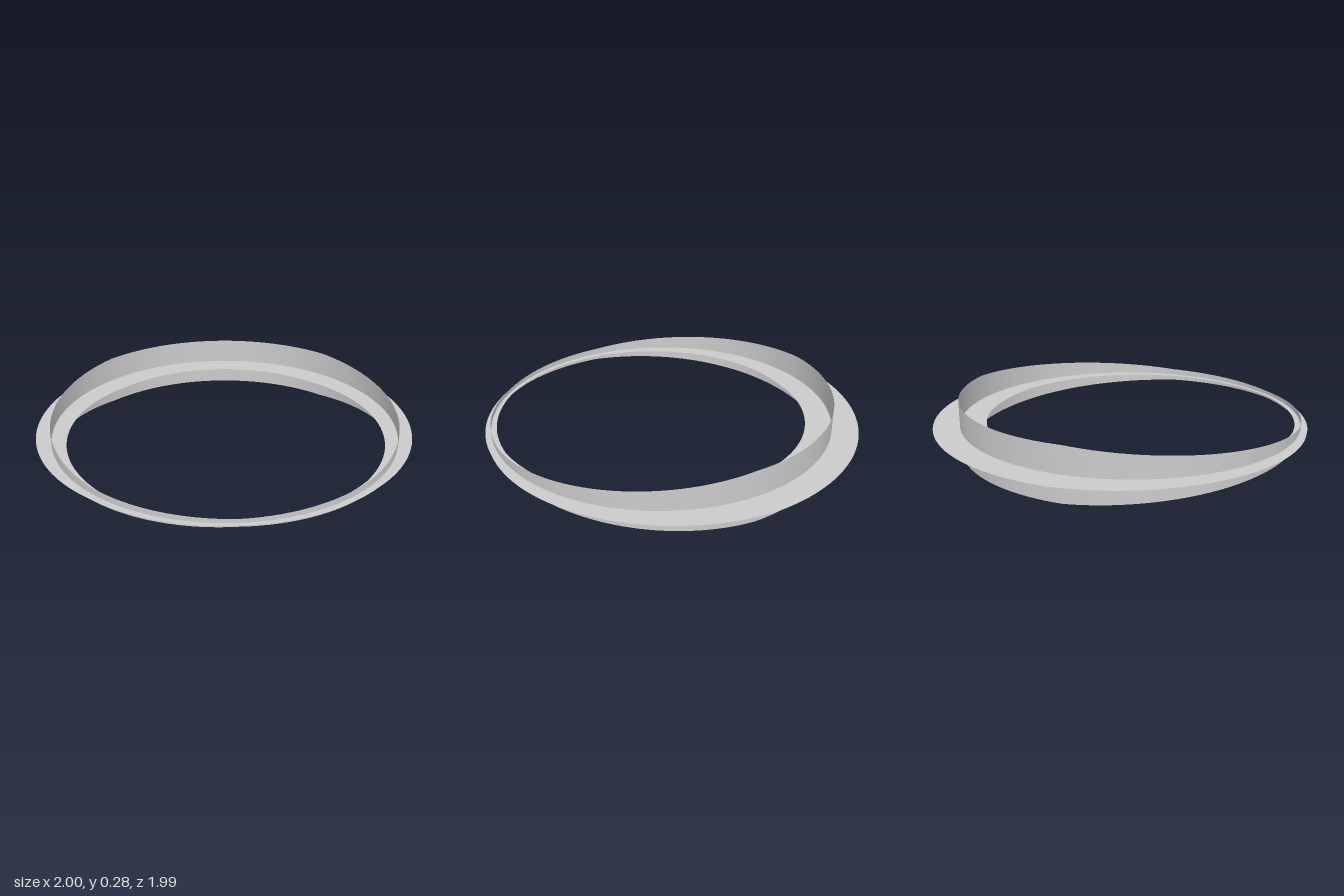
import * as THREE from 'three';

const SEGMENTS = 128;
const RADIUS = 0.913;
const CENTRE_Z = 0.058;
const MID_Y = 0.14;
// Half-width of the cross-shaped section every 45 degrees, front to back
const HALF_WIDTHS = [0.02, 0.035, 0.087, 0.139, 0.139];

function halfWidth(angle) {
  const t = Math.acos(Math.cos(angle)) / (Math.PI / 4);
  const i = Math.min(Math.floor(t), HALF_WIDTHS.length - 2);
  return THREE.MathUtils.lerp(HALF_WIDTHS[i], HALF_WIDTHS[i + 1], t - i);
}

// Closed strip around the circle; its edges lie at -/+ the half-width
// along the radial or the vertical direction
function strip(name, radial, vertical) {
  const geometry = new THREE.PlaneGeometry(1, 1, SEGMENTS, 1);
  const pos = geometry.attributes.position;
  const normal = geometry.attributes.normal;
  for (let i = 0; i < pos.count; i++) {
    const angle = ((i % (SEGMENTS + 1)) / SEGMENTS) * Math.PI * 2;
    const side = i > SEGMENTS ? -1 : 1;
    const w = side * halfWidth(angle);
    const r = RADIUS - w * radial;
    const s = Math.sin(angle), c = Math.cos(angle);
    pos.setXYZ(i, r * s, MID_Y + w * vertical, CENTRE_Z + r * c);
    // Flat ring faces up, upright band faces outward
    normal.setXYZ(i, s * vertical, radial, c * vertical);
  }
  const material = new THREE.MeshStandardMaterial({ color: 0xcccccc, side: THREE.DoubleSide });
  const mesh = new THREE.Mesh(geometry, material);
  mesh.name = name;
  return mesh;
}

export function createModel() {
  const group = new THREE.Group();
  group.name = 'crossSectionRing';
  group.add(strip('flatRing', 1, 0));
  group.add(strip('uprightBand', 0, 1));
  return group;
}
